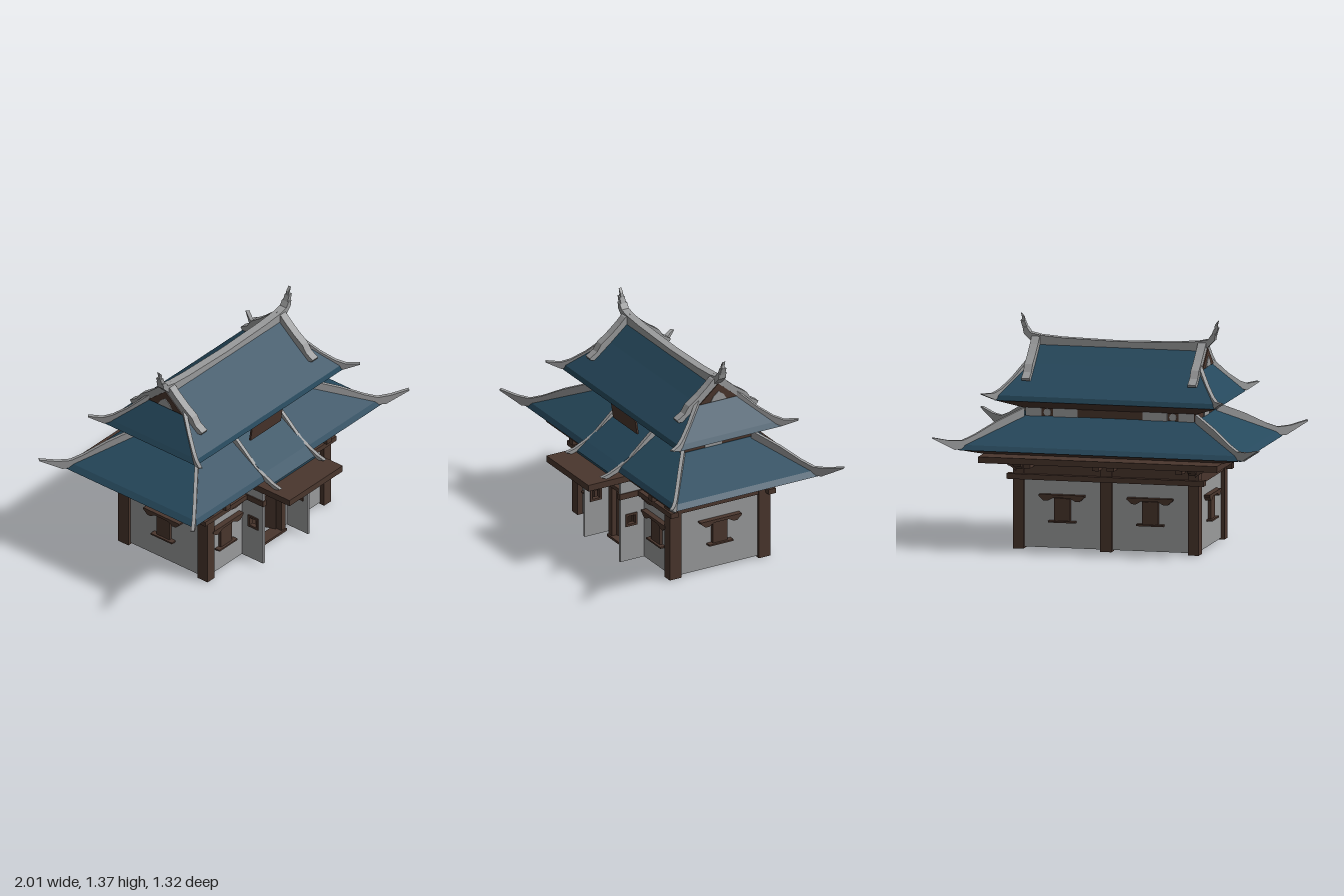
import * as THREE from 'three';

const CZ = -0.065; // depth of the roof axis

export function createModel() {
  const root = new THREE.Group();
  const paint = (name, color, side = THREE.FrontSide) => {
    const m = new THREE.MeshStandardMaterial({ color, flatShading: true, side });
    m.name = name;
    return m;
  };
  const wood = paint('dark brown wood', 0x4a362d);
  const plaster = paint('grey plaster', 0x9a9b9c);
  const tile = paint('blue roof tile', 0x26495d, THREE.DoubleSide);

  const add = (name, geo, mat, parent = root) => {
    const m = new THREE.Mesh(geo, mat);
    m.name = name;
    parent.add(m);
    return m;
  };
  // box given by its limits
  const box = (name, mat, x0, x1, y0, y1, z0, z1, parent = root) => {
    const m = add(name, new THREE.BoxGeometry(x1 - x0, y1 - y0, z1 - z0), mat, parent);
    m.position.set((x0 + x1) / 2, (y0 + y1) / 2, (z0 + z1) / 2);
    return m;
  };
  // flat outline with thickness centred on its plane
  const plate = (pts, t, hole) => {
    const s = new THREE.Shape(pts.map(p => new THREE.Vector2(...p)));
    if (hole) s.holes.push(new THREE.Path(hole.map(p => new THREE.Vector2(...p))));
    return new THREE.ExtrudeGeometry(s, { depth: t, bevelEnabled: false }).translate(0, 0, -t / 2);
  };
  // stacked rectangles [halfX, halfZ, y] joined into a closed skin
  const loft = rings => {
    const pos = [];
    const c = rings.map(([x, z, y]) => [[-x, y, CZ + z], [x, y, CZ + z], [x, y, CZ - z], [-x, y, CZ - z]]);
    const quad = (a, b, d, e) => pos.push(...a, ...b, ...d, ...a, ...d, ...e);
    for (let i = 0; i < c.length - 1; i++)
      for (let j = 0; j < 4; j++) quad(c[i][j], c[i][(j + 1) % 4], c[i + 1][(j + 1) % 4], c[i + 1][j]);
    quad(...c[c.length - 1]);
    quad(...[...c[0]].reverse());
    const g = new THREE.BufferGeometry();
    g.setAttribute('position', new THREE.Float32BufferAttribute(pos, 3));
    g.computeVertexNormals();
    return g;
  };
  const rect = (x0, x1, y0, y1) => [[x0, y0], [x1, y0], [x1, y1], [x0, y1]];

  // walls and doorway
  box('backWall', plaster, -0.54, 0.54, 0.01, 0.42, -0.38, -0.36);
  for (const s of [-1, 1]) {
    box('sideWall', plaster, s * 0.54 - 0.01, s * 0.54 + 0.01, 0.01, 0.42, -0.37, 0.25);
    box('frontWall', plaster, s * 0.35 - 0.19, s * 0.35 + 0.19, 0.01, 0.42, 0.235, 0.255);
    box('doorPost', wood, s * 0.14 - 0.02, s * 0.14 + 0.02, 0, 0.42, 0.22, 0.28);
    for (const z of [0.248, -0.368]) box('cornerPost', wood, s * 0.5375 - 0.0325, s * 0.5375 + 0.0325, 0, 0.54, z - 0.04, z + 0.04);
  }
  box('transom', plaster, -0.16, 0.16, 0.36, 0.42, 0.235, 0.255);
  box('threshold', wood, -0.16, 0.16, 0, 0.015, 0.21, 0.29);
  box('doorLintel', wood, -0.2, 0.2, 0.335, 0.36, 0.225, 0.285);
  box('backPost', wood, -0.035, 0.035, 0, 0.54, -0.408, -0.345);
  for (const [s, turn] of [[-1, 0.3], [1, -1.15]]) {
    const leaf = new THREE.Group();
    leaf.name = 'doorLeaf';
    leaf.position.set(s * 0.12, 0, 0.24);
    leaf.rotation.y = turn;
    const mid = -s * 0.06;
    box('doorPanel', wood, mid - 0.06, mid + 0.06, 0.015, 0.335, -0.008, 0.008, leaf);
    root.add(leaf);
  }

  // hooded windows
  const addWindow = (x, z, turn) => {
    const g = new THREE.Group();
    g.name = 'window';
    g.position.set(x, 0, z);
    g.rotation.y = turn;
    box('shutter', wood, -0.05, 0.05, 0.17, 0.31, 0, 0.02, g);
    box('sill', wood, -0.083, 0.083, 0.165, 0.175, 0, 0.035, g);
    add('hood', plate([[-0.14, 0.333], [-0.14, 0.322], [-0.11, 0.296], [-0.085, 0.296], [-0.05, 0.315],
      [0.05, 0.315], [0.085, 0.296], [0.11, 0.296], [0.14, 0.322], [0.14, 0.333]], 0.035), wood, g).position.z = 0.0175;
    root.add(g);
  };
  for (const s of [-1, 1]) {
    addWindow(s * 0.38, 0.255, 0);
    addWindow(s * 0.27, -0.38, Math.PI);
    addWindow(s * 0.55, -0.06, s * Math.PI / 2);
  }

  // beams and brackets under the lower eave
  for (const [z, o] of [[0.25, 1], [-0.374, -1]]) {
    box('upperPanel', wood, -0.55, 0.55, 0.417, 0.54, z - 0.02, z + 0.02);
    box('tieBeam', wood, -0.605, 0.605, 0.42, 0.452, z + o * 0.025 - 0.025, z + o * 0.025 + 0.025);
    for (const x of [-0.465, -0.045, 0.045, 0.465])
      box('bracket', wood, x - 0.021, x + 0.021, 0.497, 0.537, z + o * 0.05 - 0.06, z + o * 0.05 + 0.06);
    for (const s of [-1, 1]) {
      const arm = add('cornerBracket', plate([[0, 0.54], [0, 0.47], [0.03, 0.495], [0.045, 0.5], [0.07, 0.52], [0.08, 0.54]], 0.05), wood);
      arm.position.set(s * 0.535, 0, z + o * 0.02);
      arm.rotation.y = -o * Math.PI / 2;
      const side = arm.clone();
      side.position.x = s * 0.55;
      side.rotation.y = s > 0 ? 0 : Math.PI;
      root.add(side);
    }
  }
  for (const s of [-1, 1]) {
    box('sidePanel', wood, s * 0.545 - 0.02, s * 0.545 + 0.02, 0.417, 0.54, -0.37, 0.25);
    for (const z of [0.11, -0.235]) box('bracket', wood, s * 0.59 - 0.06, s * 0.59 + 0.06, 0.497, 0.537, z - 0.021, z + 0.021);
    add('beamCorbel', plate([[s * 0.39, 0.42], [s * 0.18, 0.42], [s * 0.18, 0.405], [s * 0.3, 0.39], [s * 0.35, 0.4]], 0.03), wood).position.z = 0.265;
  }
  box('eaveSlab', wood, -0.735, 0.73, 0.54, 0.577, -0.615, 0.37);

  // porch: slab, wing walls with small framed openings
  box('porchSlab', wood, -0.25, 0.24, 0.538, 0.578, 0.3, 0.655);
  for (const s of [-1, 1]) {
    const wing = new THREE.Group();
    wing.name = 'wingWall';
    wing.position.x = s * 0.207;
    wing.rotation.y = -Math.PI / 2;
    add('wingPanel', plate(rect(0.25, 0.42, 0.01, 0.54), 0.016, rect(0.316, 0.375, 0.243, 0.304)), plaster, wing);
    add('openingFrame', plate(rect(0.306, 0.385, 0.233, 0.314), 0.03, rect(0.32, 0.371, 0.247, 0.3)), wood, wing);
    root.add(wing);
    box('porchBeam', wood, s * 0.207 - 0.015, s * 0.207 + 0.015, 0.418, 0.455, 0.25, 0.427);
  }

  // lower roof
  add('lowerEave', loft([[0.74, 0.41, 0.574], [0.86, 0.488, 0.603]]), wood);
  add('lowerRoof', loft([[0.87, 0.497, 0.603], [0.84, 0.478, 0.633], [0.53, 0.236, 0.787]]), tile);
  const porchRoof = add('porchRoof', plate([[0.17, 0.795], [0.41, 0.64], [0.475, 0.592], [0.475, 0.578], [0.41, 0.6], [0.17, 0.77]], 0.4), tile);
  porchRoof.rotation.y = -Math.PI / 2;
  for (const s of [-1, 1]) {
    const rib = add('porchRidge', plate([[0.16, 0.845], [0.27, 0.75], [0.36, 0.668], [0.42, 0.638], [0.49, 0.607], [0.55, 0.592],
      [0.51, 0.576], [0.42, 0.605], [0.16, 0.77]], 0.022), plaster);
    rib.position.x = s * 0.204;
    rib.rotation.y = -Math.PI / 2;
  }

  // upper storey
  add('upperStorey', loft([[0.52, 0.236, 0.76], [0.52, 0.236, 0.84]]), wood);
  for (const s of [-1, 1]) {
    for (const o of [-1, 1]) {
      const z = CZ + o * 0.238;
      for (const [a, b] of [[0.42, 0.515], [0.2, 0.35]])
        box('upperPlaster', plaster, s > 0 ? a : -b, s > 0 ? b : -a, 0.785, 0.836, z - 0.004, z + 0.004);
      const disc = add('roundOrnament', new THREE.CylinderGeometry(0.022, 0.022, 0.008, 12), plaster);
      disc.rotation.x = Math.PI / 2;
      disc.position.set(s * 0.385, 0.81, z);
    }
    box('sidePlaster', plaster, s * 0.522 - 0.004, s * 0.522 + 0.004, 0.788, 0.83, -0.1, 0.02);
  }
  const sign = box('signBoard', wood, -0.14, 0.14, 0.78, 0.885, 0.255, 0.267);
  sign.rotation.x = 0.15;

  // upper roof with gables
  add('upperEave', loft([[0.53, 0.236, 0.833], [0.675, 0.352, 0.888]]), wood);
  add('upperRoof', loft([[0.68, 0.355, 0.888], [0.66, 0.345, 0.918], [0.53, 0.135, 1.085], [0.53, 0, 1.2]]), tile);
  for (const s of [-1, 1]) {
    const gable = new THREE.Group();
    gable.name = 'gable';
    gable.position.set(s * 0.535, 0, CZ);
    gable.rotation.y = -Math.PI / 2;
    add('gableBoard', plate([[-0.13, 1.085], [0.13, 1.085], [0, 1.195]], 0.012), wood, gable);
    add('gablePlaster', plate([[-0.055, 1.088], [0.055, 1.088], [0.035, 1.12], [0, 1.148], [-0.035, 1.12]], 0.02), plaster, gable);
    root.add(gable);
    for (const o of [-1, 1]) {
      const rib = add('gableRidge', plate([[0, 1.24], [0.035, 1.225], [0.07, 1.19], [0.135, 1.135], [0.2, 1.09], [0.23, 1.045],
        [0.28, 1.015], [0.272, 1.0], [0.235, 0.995], [0.135, 1.08], [0, 1.19]], 0.05), plaster);
      rib.position.set(s * 0.51, 0, CZ);
      rib.rotation.y = -o * Math.PI / 2;
    }
  }

  // hip ridges with upturned tips
  const hips = (name, x, z, dx, dz, pts) => {
    for (const s of [-1, 1]) for (const o of [-1, 1]) {
      const m = add(name, plate(pts, 0.022), plaster);
      m.position.set(s * x, 0, CZ + o * z);
      m.rotation.y = -Math.atan2(o * dz, s * dx);
    }
  };
  hips('lowerHipRidge', 0.53, 0.236, 0.34, 0.262, [[0, 0.765], [0.4, 0.61], [0.45, 0.608], [0.59, 0.682], [0.59, 0.69],
    [0.48, 0.665], [0.4, 0.66], [0.32, 0.69], [0.18, 0.76], [0, 0.832]]);
  hips('upperHipRidge', 0.525, 0.135, 0.21, 0.302, [[0, 1.07], [0.2, 0.92], [0.27, 0.892], [0.368, 0.932], [0.368, 0.938],
    [0.28, 0.934], [0.22, 0.955], [0.13, 1.01], [0, 1.115]]);

  // main ridge and end finials
  add('mainRidge', plate([[-0.53, 1.18], [0.53, 1.18], [0.53, 1.24], [0.35, 1.226], [0, 1.217], [-0.35, 1.226], [-0.53, 1.24]], 0.05), plaster).position.z = CZ;
  for (const s of [-1, 1]) {
    const f = new THREE.Group();
    f.name = 'finial';
    f.position.z = CZ;
    f.rotation.y = s > 0 ? 0 : Math.PI;
    add('finialBase', plate([[0.48, 1.2], [0.54, 1.2], [0.585, 1.245], [0.592, 1.285], [0.565, 1.28], [0.545, 1.25], [0.48, 1.236]], 0.05), plaster, f);
    add('finialNeck', plate([[0.565, 1.28], [0.592, 1.275], [0.606, 1.32], [0.58, 1.315]], 0.034), plaster, f);
    add('finialTip', plate([[0.58, 1.312], [0.604, 1.312], [0.598, 1.335], [0.606, 1.365], [0.585, 1.34]], 0.018), plaster, f);
    root.add(f);
  }
  return root;
}
